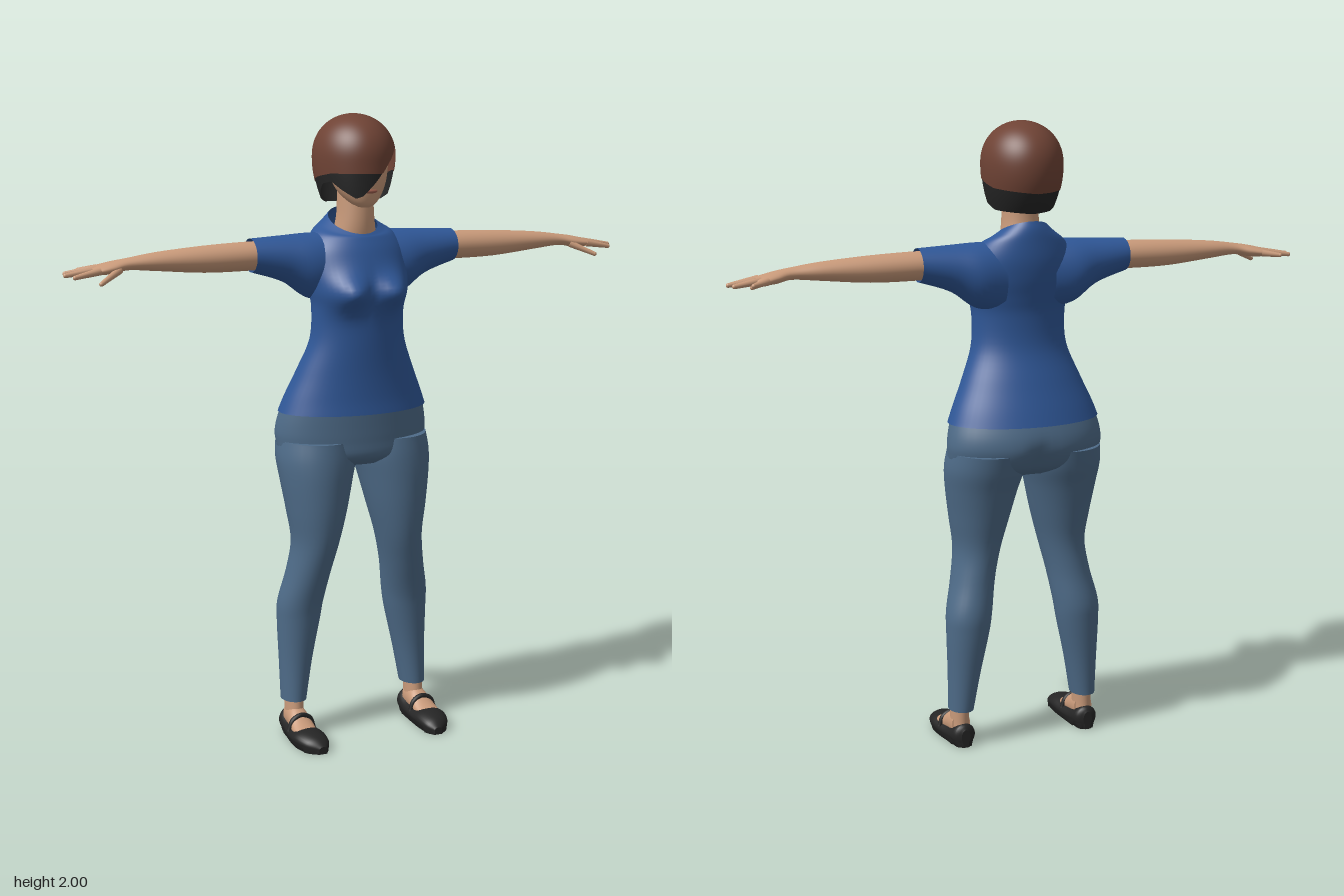
import * as THREE from 'three';

const paint = (name, color) => {
  const m = new THREE.MeshStandardMaterial({ color, side: THREE.DoubleSide });
  m.name = name;
  return m;
};

// Smooth curve through a list of rows (arrays of numbers)
function smoothRows(rows, steps) {
  const out = [];
  const at = (i) => rows[Math.max(0, Math.min(rows.length - 1, i))];
  for (let i = 0; i < rows.length - 1; i++) {
    for (let k = 0; k < steps; k++) {
      const t = k / steps;
      out.push(rows[i].map((b, c) => {
        const a = at(i - 1)[c], d = at(i + 1)[c], e = at(i + 2)[c];
        return b + 0.5 * t * (d - a + t * (2 * a - 5 * b + 4 * d - e + t * (3 * (b - d) + e - a)));
      }));
    }
  }
  out.push(rows[rows.length - 1]);
  return out;
}

// Closed rings of points joined into a skin, with optional end caps
function ringSkin(nRows, nCols, point, caps) {
  const pos = [], idx = [];
  for (let i = 0; i < nRows; i++) for (let j = 0; j < nCols; j++) pos.push(...point(i, j));
  for (let i = 0; i < nRows - 1; i++) {
    for (let j = 0; j < nCols; j++) {
      const a = i * nCols + j, b = i * nCols + (j + 1) % nCols;
      idx.push(a, b, b + nCols, a, b + nCols, a + nCols);
    }
  }
  if (caps) {
    for (const row of [0, nRows - 1]) {
      const start = pos.length / 3, mid = [0, 0, 0];
      for (let j = 0; j < nCols; j++) {
        const p = point(row, j);
        pos.push(...p);
        p.forEach((v, c) => { mid[c] += v / nCols; });
      }
      pos.push(...mid);
      for (let j = 0; j < nCols; j++) {
        const a = start + j, b = start + (j + 1) % nCols;
        idx.push(start + nCols, ...(row ? [a, b] : [b, a]));
      }
    }
  }
  const g = new THREE.BufferGeometry();
  g.setAttribute('position', new THREE.Float32BufferAttribute(pos, 3));
  g.setIndex(idx);
  g.computeVertexNormals();
  return g;
}

// Loft along an axis. Rows are [t, aMin, aMax, bMin, bMax, tilt] in rising t;
// (a, b) is (z, x) for axis y, (y, z) for axis x and (x, y) for axis z.
function loft(axis, rows, { caps = true, shape = null, cols = 32 } = {}) {
  const r = smoothRows(rows, 5);
  return ringSkin(r.length, cols, (i, j) => {
    const [t0, a0, a1, b0, b1, tilt = 0] = r[i];
    const w = (j / cols) * Math.PI * 2;
    const a = (a0 + a1) / 2 + Math.cos(w) * (a1 - a0) / 2;
    const b = (b0 + b1) / 2 + Math.sin(w) * (b1 - b0) / 2;
    const t = t0 - tilt * Math.cos(w);
    const p = axis === 'y' ? [b, t, a] : axis === 'x' ? [t, a, b] : [a, b, t];
    return shape ? shape(p) : p;
  }, caps);
}

// Piecewise-linear lookup through [key, value] pairs
function lookup(table, k) {
  let i = 0;
  while (i < table.length - 2 && k > table[i + 1][0]) i++;
  const [k0, v0] = table[i], [k1, v1] = table[i + 1];
  return v0 + (v1 - v0) * (k - k0) / (k1 - k0);
}

export function createModel() {
  const model = new THREE.Group();
  model.name = 'woman';
  const skin = paint('skin', 0xc99a7a), shirt = paint('blueShirt', 0x2f5797);
  const denim = paint('denim', 0x4e6b88), brown = paint('brownHair', 0x6f4335);
  const black = paint('black', 0x252525), lip = paint('lips', 0xa0604f);

  const add = (parent, name, geo, mat) => {
    const m = new THREE.Mesh(geo, mat);
    m.name = name;
    parent.add(m);
    return m;
  };
  const blob = (parent, name, mat, p, s) => {
    const m = add(parent, name, new THREE.SphereGeometry(1, 20, 14), mat);
    m.position.set(...p);
    m.scale.set(...s);
    return m;
  };
  const sym = (y, zb, zf, rx, tilt = 0) => [y, zb, zf, -rx, rx, tilt];

  // Shirt body, swelling at the chest and dipping at the front of the collar
  add(model, 'shirtBody', loft('y', [
    sym(1.07, -0.184, 0.122, 0.249), sym(1.12, -0.166, 0.116, 0.23), sym(1.2, -0.135, 0.113, 0.195),
    sym(1.3, -0.1, 0.115, 0.157), sym(1.4, -0.095, 0.117, 0.152), sym(1.46, -0.105, 0.122, 0.162),
    sym(1.52, -0.12, 0.115, 0.17), sym(1.58, -0.128, 0.095, 0.165), sym(1.63, -0.126, 0.075, 0.135, 0.012),
    sym(1.652, -0.122, 0.068, 0.1, 0.025), sym(1.667, -0.113, 0.064, 0.075, 0.035),
  ], {
    caps: false, cols: 56,
    shape: ([x, y, z]) => {
      const k = Math.exp(-(((Math.abs(x) - 0.075) / 0.06) ** 2) - ((y - 1.455) / 0.052) ** 2);
      return [x, y, z > 0 ? z + 0.06 * k * Math.min(1, z / 0.06) : z];
    },
  }), shirt);

  // Hips of the trousers
  add(model, 'trouserHips', loft('y', [
    sym(0.9, -0.11, 0.07, 0.13), sym(0.93, -0.162, 0.104, 0.235), sym(0.98, -0.19, 0.108, 0.255),
    sym(1.03, -0.19, 0.109, 0.253), sym(1.09, -0.17, 0.11, 0.238),
  ], {
    cols: 48,
    shape: ([x, y, z]) => [x, y, z < -0.05
      ? z + 0.025 * Math.exp(-((x / 0.035) ** 2) - ((y - 0.95) / 0.06) ** 2) : z],
  }), denim);

  // Limbs are made for +x and mirrored
  for (const side of [1, -1]) {
    const half = new THREE.Group();
    half.name = side > 0 ? 'leftLimbs' : 'rightLimbs';
    half.scale.x = side;
    model.add(half);

    add(half, 'sleeve', loft('x', [
      [0.08, 1.42, 1.635, -0.11, 0.06], [0.16, 1.432, 1.634, -0.118, 0.066],
      [0.24, 1.486, 1.63, -0.1, 0.05], [0.345, 1.521, 1.625, -0.083, 0.034],
    ], { caps: false }), shirt);
    add(half, 'armAndPalm', loft('x', [
      [0.28, 1.53, 1.615, -0.077, 0.027], [0.36, 1.527, 1.616, -0.078, 0.028],
      [0.5, 1.529, 1.611, -0.073, 0.024], [0.65, 1.543, 1.6, -0.061, 0.016],
      [0.74, 1.551, 1.588, -0.05, 0.01], [0.79, 1.543, 1.58, -0.066, 0.018],
      [0.83, 1.541, 1.571, -0.075, 0.018], [0.855, 1.546, 1.564, -0.064, 0.008],
    ]), skin);

    // Fingers taper from knuckle to tip
    const fingers = [
      ['thumb', [0.775, 1.556, 0.005], [0.845, 1.523, 0.046]],
      ['indexFinger', [0.835, 1.556, 0.006], [0.915, 1.542, 0.014]],
      ['middleFinger', [0.84, 1.557, -0.021], [0.934, 1.545, -0.022]],
      ['ringFinger', [0.84, 1.557, -0.046], [0.925, 1.546, -0.06]],
      ['littleFinger', [0.825, 1.556, -0.066], [0.875, 1.55, -0.094]],
    ];
    for (const [name, from, to] of fingers) {
      const a = new THREE.Vector3(...from), b = new THREE.Vector3(...to);
      const dir = b.clone().sub(a);
      const f = add(half, name, new THREE.CylinderGeometry(0.007, 0.012, dir.length(), 10), skin);
      f.position.copy(a).lerp(b, 0.5);
      f.quaternion.setFromUnitVectors(new THREE.Vector3(0, 1, 0), dir.normalize());
      blob(half, name + 'Tip', skin, to, [0.007, 0.007, 0.007]);
    }

    add(half, 'trouserLeg', loft('y', [
      [0.12, -0.075, 0.03, 0.174, 0.254], [0.25, -0.087, 0.03, 0.15, 0.257],
      [0.38, -0.101, 0.039, 0.122, 0.261], [0.45, -0.104, 0.05, 0.111, 0.259],
      [0.55, -0.09, 0.076, 0.095, 0.236], [0.65, -0.088, 0.1, 0.072, 0.222],
      [0.75, -0.11, 0.113, 0.045, 0.235], [0.85, -0.138, 0.116, 0.02, 0.25],
      [0.92, -0.164, 0.113, 0.002, 0.257], [0.98, -0.18, 0.105, 0.002, 0.25],
    ]), denim);

    // Foot and strapped shoe
    add(half, 'ankle', loft('y', [
      [0.03, -0.058, 0.04, 0.185, 0.248], [0.08, -0.056, 0.03, 0.187, 0.245],
      [0.16, -0.06, 0.02, 0.184, 0.245],
    ]), skin);
    add(half, 'instep', loft('z', [
      [-0.03, 0.185, 0.247, 0.02, 0.11], [0.02, 0.183, 0.251, 0.02, 0.1],
      [0.07, 0.18, 0.258, 0.02, 0.07], [0.12, 0.185, 0.258, 0.02, 0.05],
    ]), skin);
    add(half, 'shoe', loft('z', [
      [-0.073, 0.2, 0.23, 0.01, 0.06], [-0.055, 0.178, 0.252, 0.001, 0.076],
      [0, 0.172, 0.258, 0, 0.058], [0.06, 0.167, 0.268, 0, 0.053],
      [0.12, 0.165, 0.27, 0, 0.057], [0.17, 0.172, 0.252, 0, 0.046],
      [0.198, 0.192, 0.218, 0.006, 0.024],
    ], { shape: ([x, y, z]) => [x, y < 0.015 ? 0 : y, z] }), black);
    const strap = new THREE.CatmullRomCurve3([[0.175, 0.035], [0.188, 0.07], [0.217, 0.084], [0.248, 0.07], [0.262, 0.035]]
      .map(([x, y]) => new THREE.Vector3(x, y, 0.052)));
    add(half, 'shoeStrap', new THREE.TubeGeometry(strap, 20, 0.008, 8), black);
  }

  // Neck and head
  add(model, 'neck', loft('y', [
    sym(1.6, -0.09, 0.05, 0.075), sym(1.65, -0.075, 0.056, 0.064),
    sym(1.7, -0.066, 0.056, 0.058), sym(1.78, -0.065, 0.05, 0.056),
  ]), skin);
  add(model, 'head', loft('y', [
    sym(1.716, 0.04, 0.085, 0.018), sym(1.73, 0, 0.1, 0.042), sym(1.76, -0.05, 0.111, 0.067),
    sym(1.8, -0.08, 0.118, 0.084), sym(1.85, -0.1, 0.119, 0.093), sym(1.9, -0.1, 0.122, 0.093),
    sym(1.95, -0.06, 0.08, 0.06),
  ]), skin);
  blob(model, 'noseBridge', skin, [0, 1.825, 0.118], [0.009, 0.028, 0.014]).rotation.x = -0.25;
  blob(model, 'noseTip', skin, [0, 1.806, 0.124], [0.014, 0.011, 0.016]);
  blob(model, 'mouth', lip, [0, 1.768, 0.109], [0.023, 0.007, 0.008]);
  for (const s of [-1, 1]) {
    blob(model, 'eye', black, [s * 0.037, 1.847, 0.107], [0.014, 0.006, 0.005]).rotation.y = s * 0.4;
    blob(model, 'eyebrow', brown, [s * 0.038, 1.868, 0.108], [0.02, 0.004, 0.005]).rotation.y = s * 0.4;
    blob(model, 'ear', skin, [s * 0.09, 1.825, 0], [0.01, 0.028, 0.018]);
  }

  // Bob with a diagonal fringe: lower edge and brown/black border by angle (0 = front)
  const edge = [[-180, 1.72], [-130, 1.725], [-100, 1.745], [-80, 1.79], [-62, 1.8], [-45, 1.775], [-25, 1.75],
    [-15, 1.757], [5, 1.8], [25, 1.85], [50, 1.9], [62, 1.895], [72, 1.83], [82, 1.75], [100, 1.73], [180, 1.72]];
  const border = [[-180, 1.785], [-120, 1.79], [-90, 1.81], [-60, 1.825], [0, 1.825], [80, 1.82], [110, 1.8], [180, 1.785]];
  const hair = (low, high, grow) => ringSkin(25, 96, (i, j) => {
    const deg = (j / 96) * 360 - 180, w = deg * Math.PI / 180;
    const u = 1 - i / 24, y = high(deg) - (high(deg) - low(deg)) * u ** 1.6;
    const up = (y - 1.865) / 0.135, down = (1.865 - y) / 0.145;
    const s = grow * (up > 0 ? Math.sqrt(Math.max(0, 1 - up ** 2.2))
      : 1 - (0.2 - 0.16 * Math.cos(w)) * down * down);
    return [-0.012 + 0.126 * s * Math.sin(w), y, 0.01 + 0.149 * s * Math.cos(w)];
  });
  const low = (d) => lookup(edge, d), mid = (d) => Math.max(low(d), lookup(border, d));
  add(model, 'hairTop', hair(mid, () => 2, 1), brown);
  add(model, 'hairUnderLayer', hair(low, (d) => mid(d) + 0.004, 0.98), black);

  return model;
}
